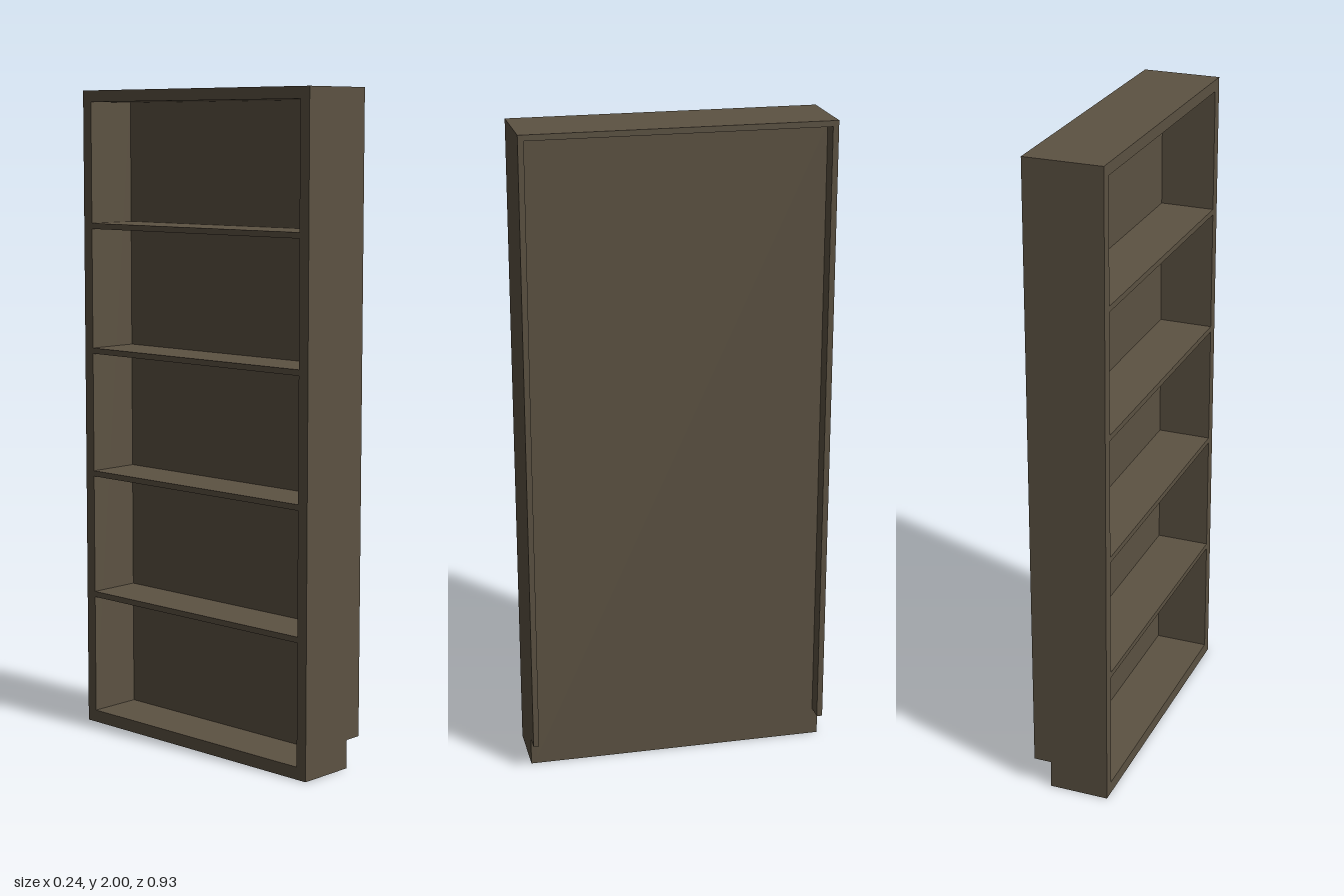
import * as THREE from 'three';

export function createModel() {
  const model = new THREE.Group();
  model.name = 'bookcase';
  const wood = new THREE.MeshStandardMaterial({ color: 0x5c5242 });

  const X = 0.119, Z = 0.465, H = 2;   // half depth, half width, height
  const T = 0.0175;                    // board thickness
  const backX = 0.065, notchY = 0.087; // rear of the carcass, height of the skirting notch

  // Box given by its minimum and maximum corners
  function board(name, x0, x1, y0, y1, z0, z1) {
    const mesh = new THREE.Mesh(new THREE.BoxGeometry(x1 - x0, y1 - y0, z1 - z0), wood);
    mesh.position.set((x0 + x1) / 2, (y0 + y1) / 2, (z0 + z1) / 2);
    mesh.name = name;
    model.add(mesh);
  }

  // Outer sides, cut away at the foot to clear a skirting board
  const outline = new THREE.Shape([
    [-X, 0], [backX, 0], [backX, notchY], [X, notchY], [X, H], [-X, H],
  ].map(([x, y]) => new THREE.Vector2(x, y)));
  const sideGeometry = new THREE.ExtrudeGeometry(outline, { depth: T, bevelEnabled: false });
  for (const s of [-1, 1]) {
    const side = new THREE.Mesh(sideGeometry, wood);
    side.position.z = s > 0 ? Z - T : -Z;
    side.name = s > 0 ? 'frontOuterSide' : 'rearOuterSide';
    model.add(side);
  }

  // Outer top and bottom
  board('outerTop', -X, X, H - T, H, -Z + T, Z - T);
  board('outerBottom', -X, backX, 0, T, -Z + T, Z - T);

  // Inner carcass, open towards -x
  const inner = Z - 2 * T;
  const panelX = backX - 0.016;
  board('backPanel', panelX, backX, T, H - T, -Z + T, Z - T);
  board('frontInnerSide', -X, panelX, T, H - T, inner, Z - T);
  board('rearInnerSide', -X, panelX, T, H - T, -Z + T, -inner);
  board('innerTop', -X, panelX, H - 2 * T, H - T, -inner, inner);

  // Bottom shelf and four evenly spaced shelves
  const floorY = 0.038, pitch = (H - 2 * T - floorY + T) / 5;
  board('bottomShelf', -X, panelX, T, floorY, -inner, inner);
  for (let i = 1; i < 5; i++) {
    const top = floorY + i * pitch;
    board('shelf' + i, -X, panelX, top - T, top, -inner, inner);
  }

  return model;
}
